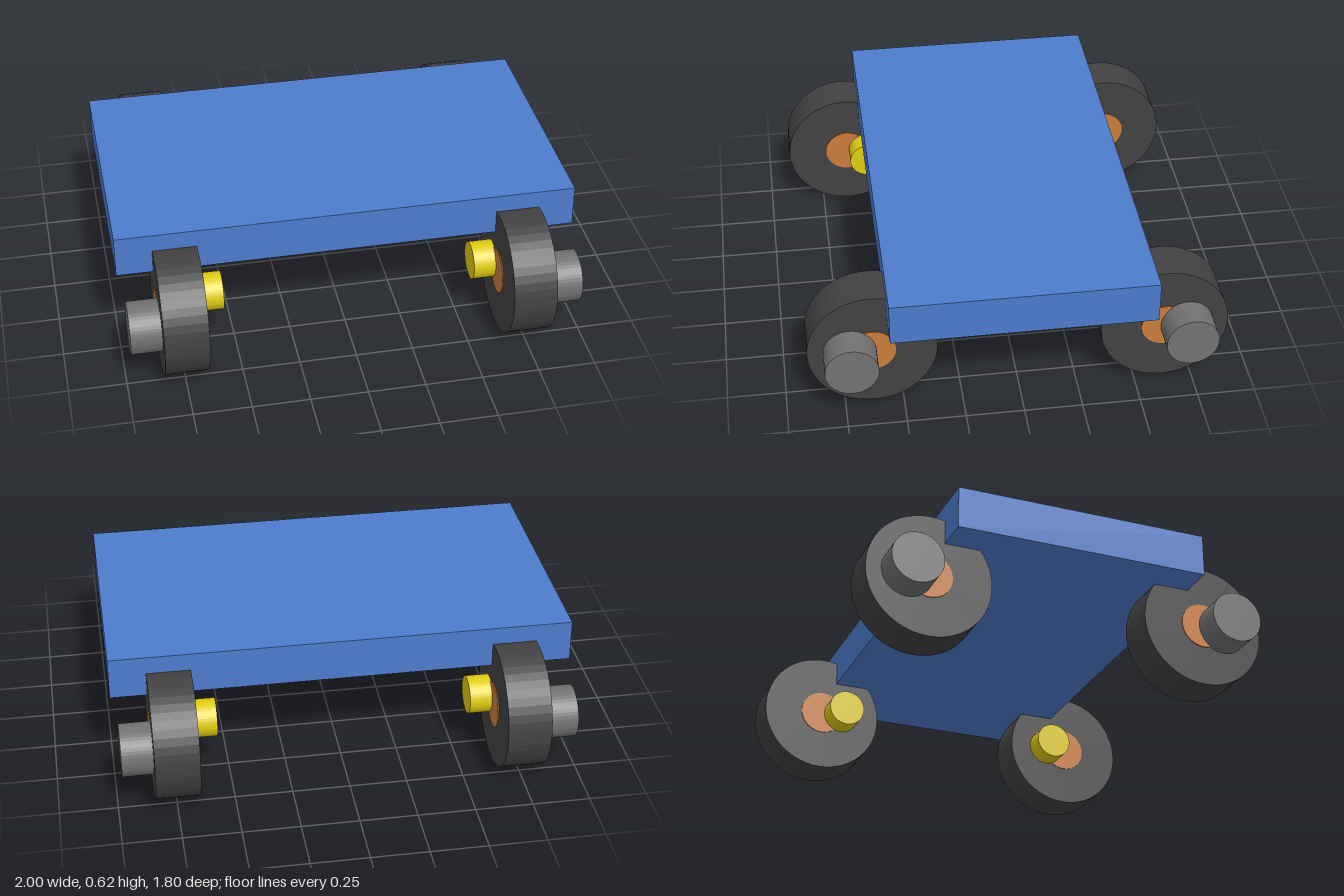
import * as THREE from 'three';

const mat = (name, color, flatShading = false) => {
  const m = new THREE.MeshStandardMaterial({ color, flatShading });
  m.name = name;
  return m;
};

export function createModel() {
  const blue = mat('deck blue', 0x4d7bcc);
  const black = mat('tyre black', 0x424242, true);
  const orange = mat('hub orange', 0xcb7c3a, true);
  const grey = mat('motor grey', 0x727272, true);
  const yellow = mat('shaft yellow', 0xe0cc12, true);

  const model = new THREE.Group();
  model.name = 'cart';

  // Flat rectangular deck
  const deck = new THREE.Mesh(new THREE.BoxGeometry(2, 0.185, 1.12), blue);
  deck.name = 'deck';
  deck.position.y = 0.528;
  model.add(deck);

  // Cylinder along x from x0 to x1 (mirrored by side)
  const axial = (group, name, material, radius, x0, x1, z, side) => {
    const geometry = new THREE.CylinderGeometry(radius, radius, x1 - x0, 48);
    geometry.rotateZ(Math.PI / 2);
    const mesh = new THREE.Mesh(geometry, material);
    mesh.name = name;
    mesh.position.set(side * (x0 + x1) / 2, 0.275, z);
    group.add(mesh);
  };

  // Four wheel units: the motor sits outboard, the shaft end inboard
  for (const side of [1, -1]) {
    for (const end of [1, -1]) {
      const unit = new THREE.Group();
      unit.name = `${end > 0 ? 'front' : 'back'}${side > 0 ? 'Left' : 'Right'}Wheel`;
      axial(unit, 'tyre', black, 0.275, 0.653, 0.843, end * 0.625, side);
      axial(unit, 'hub', orange, 0.1, 0.649, 0.847, end * 0.625, side);
      axial(unit, 'motor', grey, 0.113, 0.8, 0.977, end * 0.72, side);
      axial(unit, 'shaft', yellow, 0.083, 0.552, 0.7, end * 0.532, side);
      model.add(unit);
    }
  }
  return model;
}
